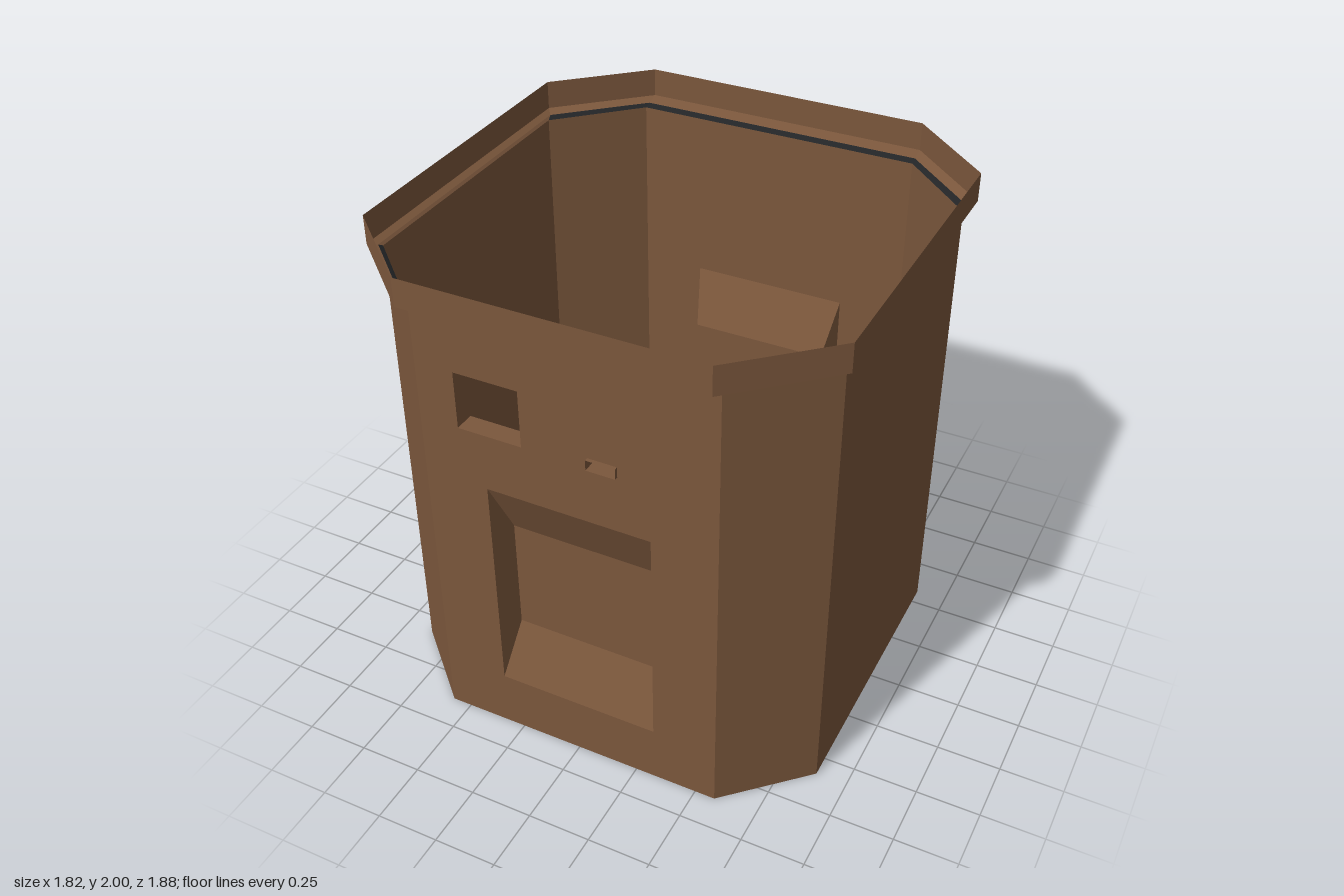
import * as THREE from 'three';

const brown = new THREE.MeshStandardMaterial({ color: 0x7b573c, side: THREE.DoubleSide });
brown.name = 'brown shell';
const black = new THREE.MeshStandardMaterial({ color: 0x222426, side: THREE.DoubleSide });
black.name = 'black seal';

// Flat-faced bands between two closed loops of points; keep picks the segments
function bands(a, b, keep = () => true) {
  const pos = [];
  a.forEach((p, i) => {
    if (!keep(i)) return;
    const j = (i + 1) % a.length;
    pos.push(...p, ...a[j], ...b[j], ...p, ...b[j], ...b[i]);
  });
  const g = new THREE.BufferGeometry();
  g.setAttribute('position', new THREE.Float32BufferAttribute(pos, 3));
  g.computeVertexNormals();
  return g;
}

// Octagon loop; even segments are front, +x side, back, -x side
function octagon(y, x, zFront, zBack, cx, czFront, czBack) {
  return [
    [-cx, y, zFront], [cx, y, zFront], [x, y, czFront], [x, y, czBack],
    [cx, y, zBack], [-cx, y, zBack], [-x, y, czBack], [-x, y, czFront],
  ];
}

const rect = (l, r, b, t, z) => [[l, b, z], [r, b, z], [r, t, z], [l, t, z]];

function add(parent, name, geometry, material = brown) {
  const mesh = new THREE.Mesh(geometry, material);
  mesh.name = name;
  parent.add(mesh);
  return mesh;
}

const TOP = 1.865, CORNER = 0.58, FRONT = 0.87, BACK = -0.858;

// Flat wall with rectangular openings, facing +z
function wall(openings) {
  const shape = new THREE.Shape(
    [[-CORNER, 0], [CORNER, 0], [CORNER, TOP], [-CORNER, TOP]].map((p) => new THREE.Vector2(...p)));
  for (const o of openings) {
    shape.holes.push(new THREE.Path(o.map(([x, y]) => new THREE.Vector2(x, y)).reverse()));
  }
  return new THREE.ShapeGeometry(shape);
}

// Wall with a tapered, closed niche
function nicheWall(name, z, extraOpenings) {
  const group = new THREE.Group();
  group.name = name;
  const outer = rect(-0.325, 0.325, 0.24, 1.165, z);
  const inner = rect(-0.29, 0.29, 0.47, 0.94, z - 0.097);
  add(group, name + 'Panel', wall([outer, ...extraOpenings])).position.z = z;
  add(group, name + 'NicheSides', bands(outer, inner));
  const back = add(group, name + 'NicheBack', new THREE.PlaneGeometry(0.58, 0.47));
  back.position.set(0, 0.705, z - 0.097);
  return group;
}

export function createModel() {
  const model = new THREE.Group();
  model.name = 'octagonalHousing';

  // Side and corner walls
  const base = octagon(0, 0.878, FRONT, BACK, CORNER, 0.585, -0.57);
  const head = octagon(TOP, 0.878, FRONT, BACK, CORNER, 0.585, -0.57);
  add(model, 'sideWalls', bands(base, head, (i) => i % 4 !== 0));

  // Front wall with window and slot
  const windowEdge = rect(-0.425, -0.17, 1.4, 1.632, FRONT);
  const slotEdge = rect(0.09, 0.203, 1.4, 1.442, FRONT);
  const front = nicheWall('frontWall', FRONT, [windowEdge, slotEdge]);
  add(front, 'windowReveal', bands(windowEdge, rect(-0.425, -0.17, 1.4, 1.615, 0.79)));
  add(front, 'slotSleeve', bands(rect(0.09, 0.203, 1.4, 1.442, 0.885), rect(0.09, 0.203, 1.4, 1.442, 0.83)));
  model.add(front);

  // Back wall
  const back = nicheWall('backWall', -BACK, []);
  back.rotation.y = Math.PI;
  model.add(back);

  // Seal under the rim: black except along the two sides
  const seat = octagon(1.874, 0.887, 0.89, -0.887, CORNER, 0.6, -0.6);
  const isSide = (i) => i % 4 === 2;
  add(model, 'seal', bands(head, seat, (i) => !isSide(i)), black);
  add(model, 'sideLedges', bands(head, seat, isSide));

  // Open rim with sloped underside
  const rimLow = octagon(1.887, 0.912, 0.94, -0.94, CORNER, 0.632, -0.632);
  const rimHigh = octagon(2, 0.912, 0.94, -0.94, CORNER, 0.632, -0.632);
  add(model, 'rimSlope', bands(seat, rimLow));
  add(model, 'rimWall', bands(rimLow, rimHigh));

  return model;
}
